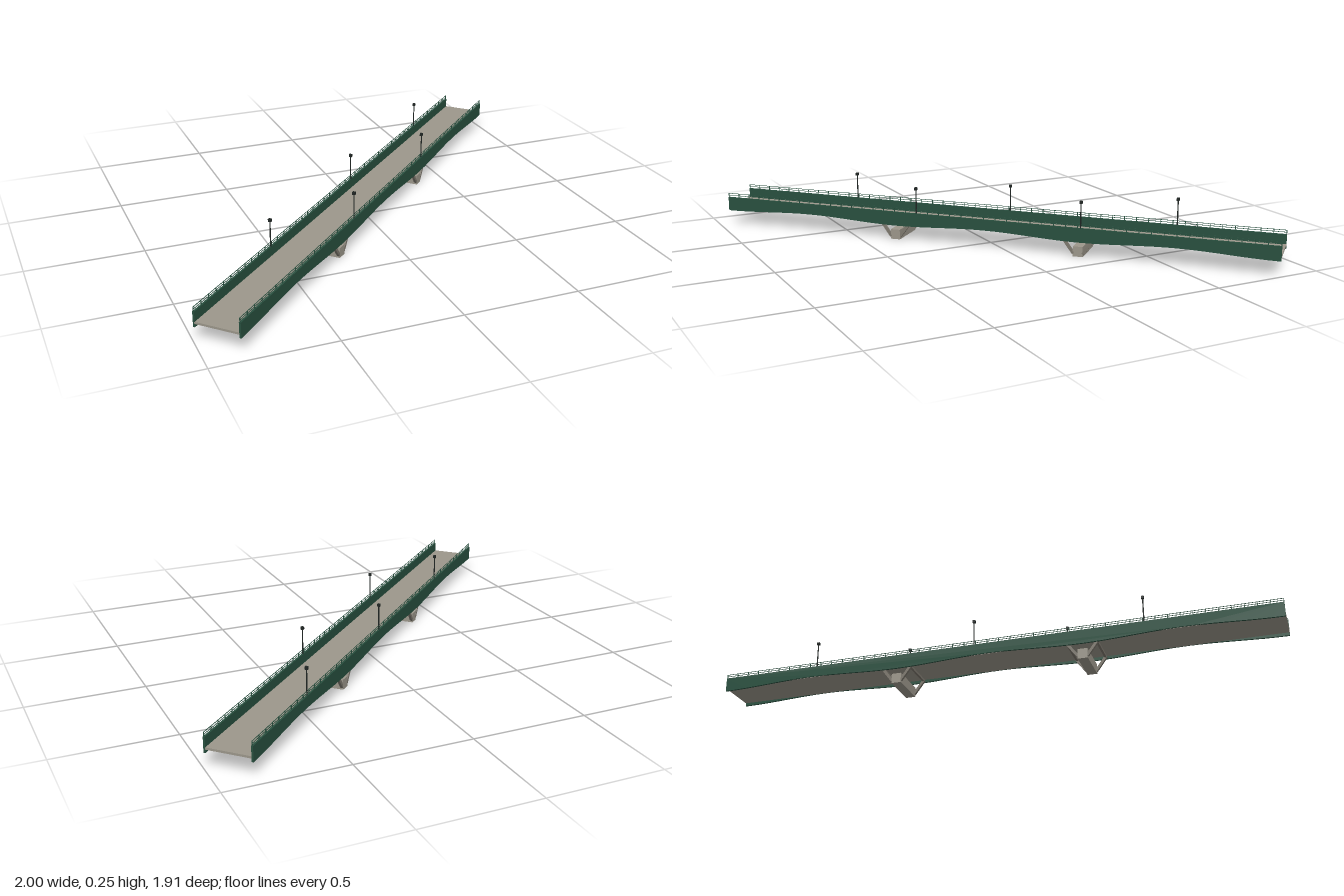
import * as THREE from 'three';

const LENGTH = 2.566, HALF = LENGTH / 2, SIDE = 0.096;
const GIRDER_TOP = 0.13, SPAN = LENGTH / 3;

const material = (name, color) => {
  const m = new THREE.MeshStandardMaterial({ color });
  m.name = name;
  return m;
};

export function createModel() {
  const steel = material('green steel', 0x28503f);
  const concrete = material('warm grey concrete', 0x9c978b);
  const strutGrey = material('strut grey', 0x7d786e);
  const dark = material('lamp black', 0x202624);

  const model = new THREE.Group();
  model.name = 'bridge';
  const bridge = new THREE.Group(); // local x runs along the bridge
  bridge.name = 'span';
  bridge.rotation.y = Math.atan2(1.765, 1.86);
  model.add(bridge);

  const box = (name, mat, w, h, d, x, y, z, parent = bridge) => {
    const mesh = new THREE.Mesh(new THREE.BoxGeometry(w, h, d), mat);
    mesh.name = name;
    mesh.position.set(x, y, z);
    parent.add(mesh);
    return mesh;
  };

  // square bar between two points
  const bar = (name, mat, a, b, size, parent) => {
    const from = new THREE.Vector3(...a), to = new THREE.Vector3(...b);
    const mid = from.clone().lerp(to, 0.5);
    const mesh = box(name, mat, size, from.distanceTo(to), size, mid.x, mid.y, mid.z, parent);
    mesh.quaternion.setFromUnitVectors(new THREE.Vector3(0, 1, 0), to.sub(from).normalize());
    return mesh;
  };

  // roadway between the girders
  box('deck', concrete, LENGTH, 0.009, 0.188, 0, 0.084, 0);

  // side girders, lower edge arched between the supports
  const profile = new THREE.Shape();
  profile.moveTo(-HALF, GIRDER_TOP);
  const steps = 48;
  for (let i = 0; i <= steps; i++) {
    const x = -HALF + (LENGTH * i) / steps;
    profile.lineTo(x, 0.0735 + 0.0075 * Math.cos((2 * Math.PI * x) / SPAN));
  }
  profile.lineTo(HALF, GIRDER_TOP);
  const girderGeometry = new THREE.ExtrudeGeometry(profile, { depth: 0.008, bevelEnabled: false });
  girderGeometry.translate(0, 0, -0.004);

  for (const side of [-1, 1]) {
    const z = side * SIDE;
    const girder = new THREE.Mesh(girderGeometry, steel);
    girder.name = side > 0 ? 'frontGirder' : 'backGirder';
    girder.position.z = z;
    bridge.add(girder);

    // railing
    const railing = new THREE.Group();
    railing.name = side > 0 ? 'frontRailing' : 'backRailing';
    bridge.add(railing);
    for (const y of [0.139, 0.148]) box('rail', steel, LENGTH, 0.002, 0.002, 0, y, z, railing);
    const posts = 48;
    for (let i = 0; i <= posts; i++) {
      const x = -HALF + 0.0015 + ((LENGTH - 0.003) * i) / posts;
      box('railPost', steel, 0.003, 0.02, 0.003, x, 0.139, z, railing);
    }
  }

  // lamps, alternating sides
  for (let i = 0; i < 5; i++) {
    const lamp = new THREE.Group();
    lamp.name = 'lamp';
    lamp.position.set(-0.7 + i * 0.38, 0, (i % 2 ? 1 : -1) * SIDE);
    const pole = new THREE.Mesh(new THREE.CylinderGeometry(0.0025, 0.003, 0.115, 8), dark);
    pole.name = 'lampPole';
    pole.position.y = 0.185;
    lamp.add(pole);
    box('lampHead', dark, 0.012, 0.012, 0.012, 0, 0.244, 0, lamp);
    bridge.add(lamp);
  }

  // piers: a wall with slanted struts fanning out to the girders
  for (const x of [-SPAN / 2, SPAN / 2]) {
    const pier = new THREE.Group();
    pier.name = 'pier';
    pier.position.x = x;
    bridge.add(pier);
    box('pierWall', concrete, 0.044, 0.045, 0.18, 0, 0.0225, 0, pier);
    for (const sx of [-1, 1]) {
      for (const sz of [-1, 1]) {
        bar('strut', strutGrey, [sx * 0.02, 0.012, sz * 0.084], [sx * 0.066, 0.074, sz * 0.084], 0.012, pier);
      }
      box('crossBeam', strutGrey, 0.01, 0.01, 0.176, sx * 0.064, 0.073, 0, pier);
    }
  }
  return model;
}
